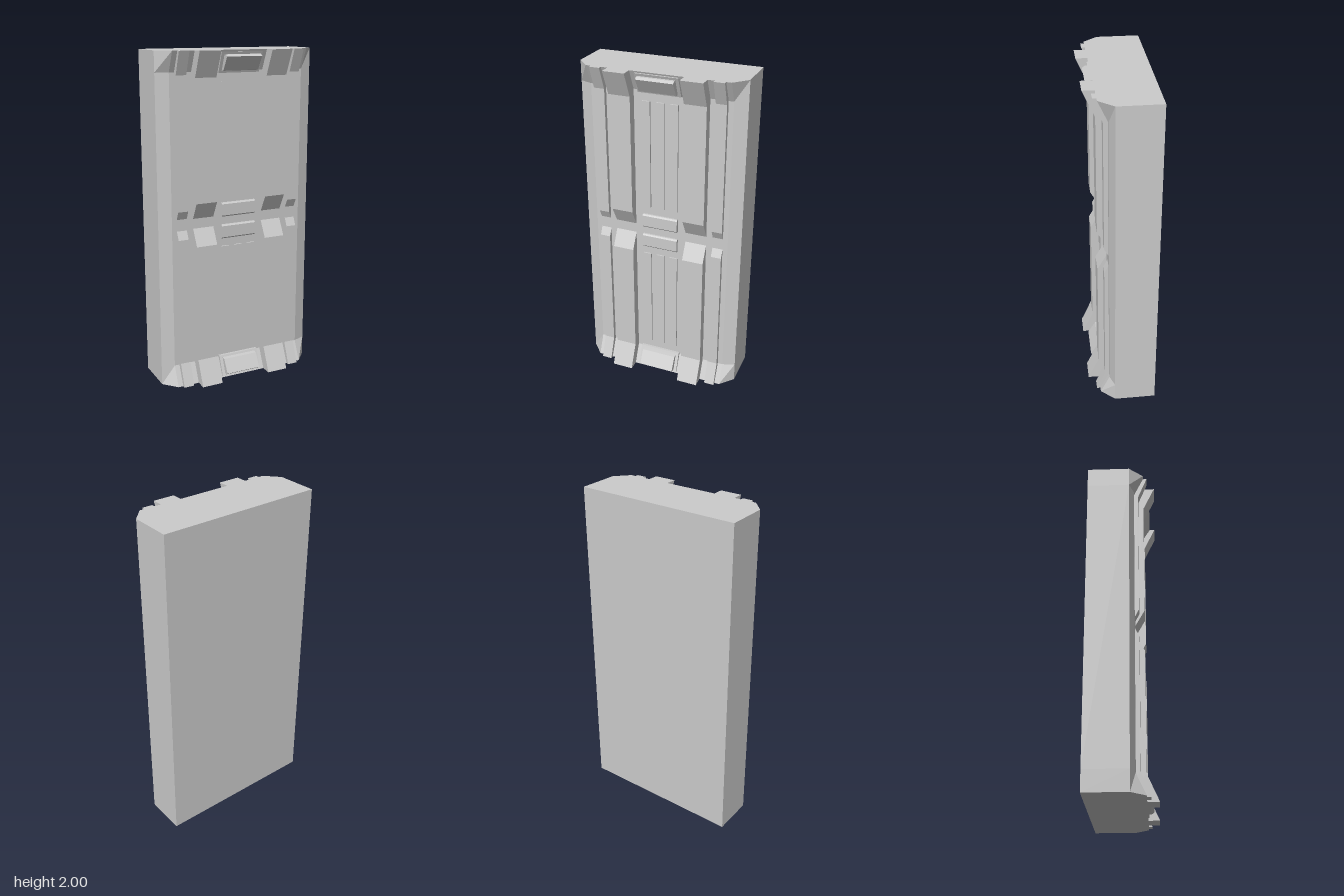
import * as THREE from 'three';

const material = new THREE.MeshStandardMaterial({ color: 0xcccccc, flatShading: true });
const BASE = 0.077; // front plane of the recessed panel
const FLARE = 0.133; // front plane at the top and bottom ends

function add(parent, name, geometry) {
  const mesh = new THREE.Mesh(geometry, material);
  mesh.name = name;
  parent.add(mesh);
  return mesh;
}

// Side profile of [z, y] points, extruded across x and centred on cx
function sideProfile(points, cx, width) {
  const shape = new THREE.Shape(points.map(([z, y]) => new THREE.Vector2(z, y)));
  const geometry = new THREE.ExtrudeGeometry(shape, { depth: width, bevelEnabled: false });
  return geometry.rotateY(-Math.PI / 2).translate(cx + width / 2, 0, 0);
}

// Block lofted through horizontal sections: chamfered sides, front flaring at both ends
function bodyGeometry() {
  const levels = [[0, FLARE], [0.12, BASE], [1.88, BASE], [2, FLARE]];
  const rings = levels.map(([y, z]) => [
    [-0.5, -0.2], [-0.5, 0.05], [-0.425, z], [0.425, z], [0.5, 0.05], [0.5, -0.2],
  ].map(([x, d]) => [x, y, d]));
  const pos = [];
  const tri = (a, b, c) => pos.push(...a, ...b, ...c);
  for (let r = 0; r < rings.length - 1; r++) {
    for (let i = 0; i < 6; i++) {
      const j = (i + 1) % 6;
      const [a, b, c, d] = [rings[r][i], rings[r][j], rings[r + 1][j], rings[r + 1][i]];
      tri(a, b, c);
      tri(a, c, d);
    }
  }
  const [bottom, top] = [rings[0], rings[3]];
  for (let i = 1; i < 5; i++) {
    tri(bottom[0], bottom[i + 1], bottom[i]);
    tri(top[0], top[i], top[i + 1]);
  }
  const geometry = new THREE.BufferGeometry();
  geometry.setAttribute('position', new THREE.Float32BufferAttribute(pos, 3));
  geometry.computeVertexNormals();
  return geometry;
}

export function createModel() {
  const model = new THREE.Group();
  model.name = 'wallPanel';
  add(model, 'body', bodyGeometry());

  // Profiles of the lower half; the upper half mirrors them about y = 1
  const wideRib = [[0, 0], [0.2, 0], [0.132, 0.15], [0.132, 0.87], [BASE, 0.97], [0, 0.97]];
  const narrowRib = [[0, 0], [0.155, 0], [0.102, 0.135], [0.102, 0.915], [BASE, 0.965], [0, 0.965]];
  const endBlock = [[0.05, 0.025], [0.152, 0.025], [0.168, 0.036], [0.12, 0.115], [0.05, 0.125]];
  const endPad = [[0.05, 0.01], [0.14, 0.01], [0.092, 0.13], [0.05, 0.13]];
  const centreBlock = [[0.05, 0.89], [0.088, 0.89], [0.096, 0.898], [0.096, 0.967], [0.088, 0.975], [0.05, 0.975]];

  for (const half of ['lower', 'upper']) {
    const group = new THREE.Group();
    group.name = half + 'Half';
    model.add(group);
    const place = (points) => (half === 'lower' ? points : points.map(([z, y]) => [z, 2 - y]));

    // Paired vertical ribs
    for (const [side, s] of [['left', 1], ['right', -1]]) {
      add(group, side + 'WideRib', sideProfile(place(wideRib), s * 0.226, 0.131));
      add(group, side + 'NarrowRib', sideProfile(place(narrowRib), s * 0.363, 0.063));
    }

    // Raised blocks on the centre line
    add(group, 'endPad', sideProfile(place(endPad), 0, 0.26));
    add(group, 'endBlock', sideProfile(place(endBlock), 0, 0.222));
    add(group, 'centreBlock', sideProfile(place(centreBlock), 0, 0.222));

    // Thin slats in the centre channel
    for (const x of [-0.085, 0, 0.085]) {
      const slat = add(group, 'slat', new THREE.BoxGeometry(0.05, 0.66, 0.03));
      slat.position.set(x, half === 'lower' ? 0.51 : 1.49, BASE - 0.005);
    }
  }
  return model;
}
